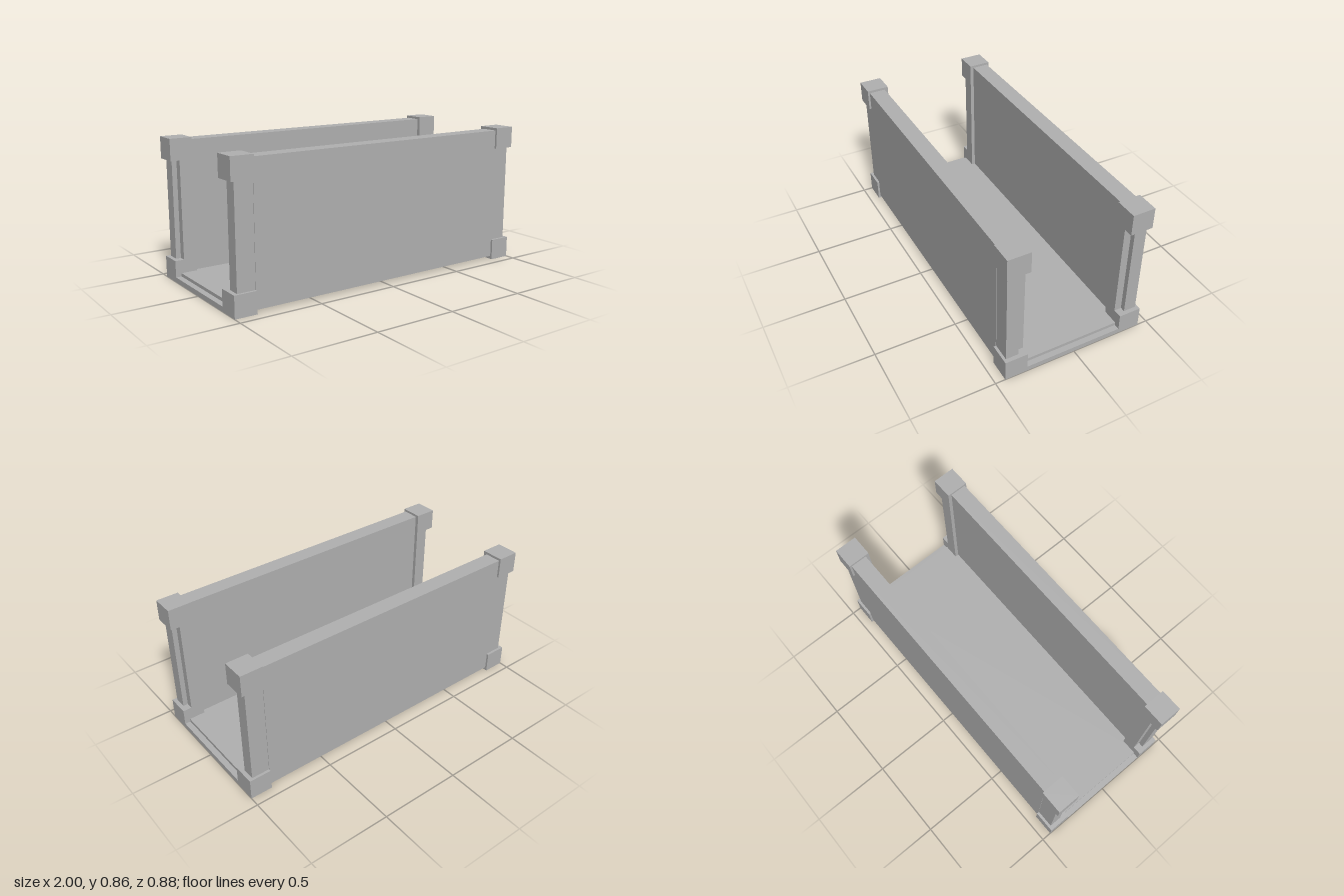
import * as THREE from 'three';

export function createModel() {
  const model = new THREE.Group();
  model.name = 'openFrameContainer';
  const steel = new THREE.MeshStandardMaterial({ color: 0xb0b0b0 });
  steel.name = 'grey steel';

  // Box given by its minimum and maximum on each axis
  const box = (name, x, y, z) => {
    const mesh = new THREE.Mesh(
      new THREE.BoxGeometry(x[1] - x[0], y[1] - y[0], z[1] - z[0]), steel);
    mesh.position.set((x[0] + x[1]) / 2, (y[0] + y[1]) / 2, (z[0] + z[1]) / 2);
    mesh.name = name;
    model.add(mesh);
  };
  // Range mirrored to either side of an axis
  const side = (s, a, b) => (s > 0 ? [a, b] : [-b, -a]);

  // Floor deck between the side walls
  box('floor', [-0.965, 0.965], [0.02, 0.05], [-0.325, 0.325]);

  for (const sz of [1, -1]) {
    // Long side wall
    box('sideWall', [-0.865, 0.865], [0.02, 0.84], side(sz, 0.325, 0.427));

    for (const sx of [1, -1]) {
      // Corner post with an inner step
      box('postOuter', side(sx, 0.865, 0.975), [0.13, 0.725], side(sz, 0.347, 0.424));
      box('postInner', side(sx, 0.865, 0.945), [0.05, 0.725], side(sz, 0.302, 0.347));
      // Corner castings, bottom and top
      for (const y of [0, 0.725])
        box('cornerBlock', side(sx, 0.865, 1), [y, y + 0.13], side(sz, 0.302, 0.44));
    }
  }

  // Low end sills joining the bottom corner blocks
  for (const sx of [1, -1])
    box('endSill', side(sx, 0.865, 1), [0, 0.03], [-0.302, 0.302]);

  return model;
}
